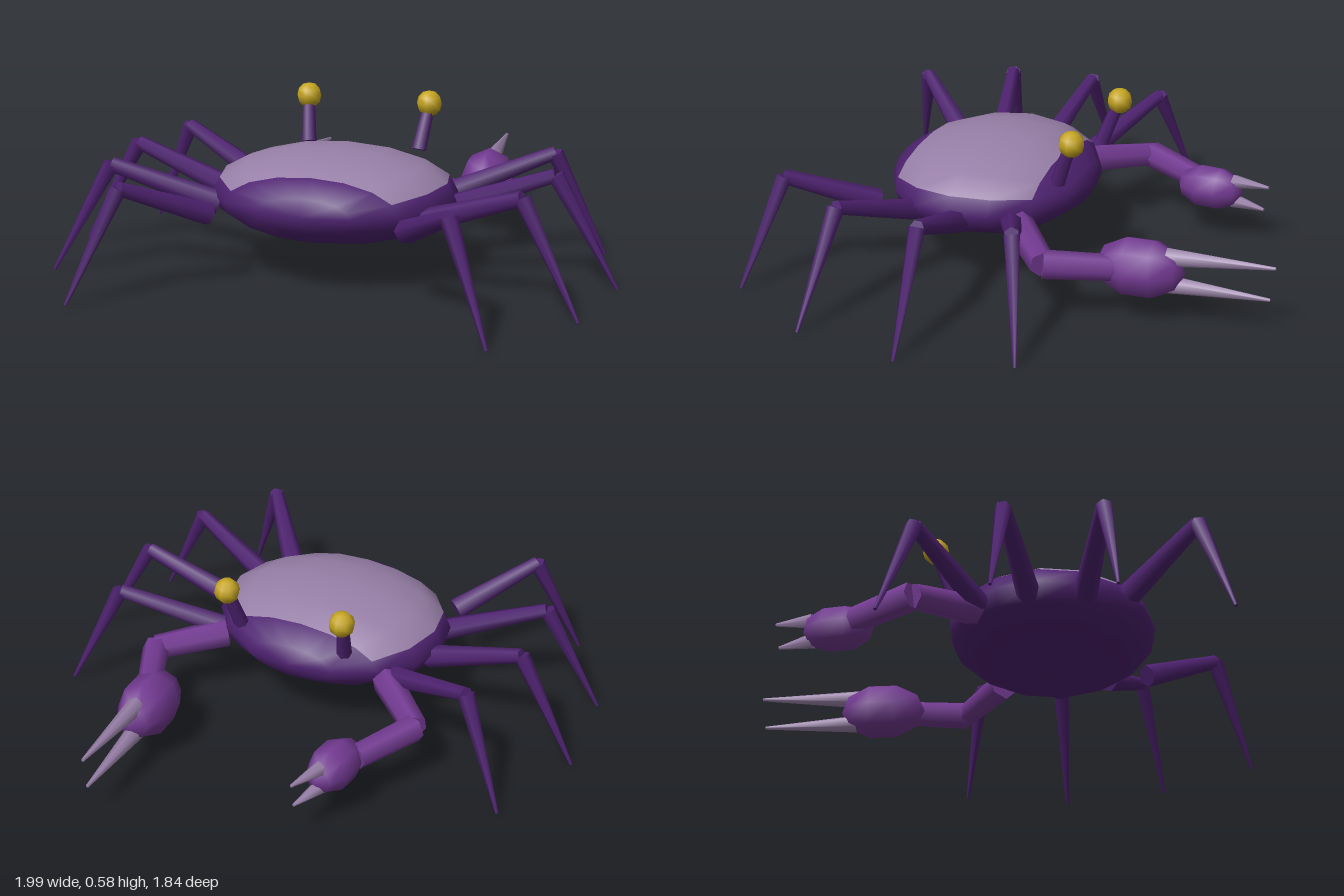
import * as THREE from 'three';

const mat = (name, color) => {
  const m = new THREE.MeshStandardMaterial({ color });
  m.name = name;
  return m;
};
const V = (x, y, z) => new THREE.Vector3(x, y, z);

export function createModel() {
  const crab = new THREE.Group();
  crab.name = 'crab';
  const dark = mat('darkPurple', 0x4e2270);
  const violet = mat('violet', 0x733a92);
  const pale = mat('paleMauve', 0x9880a8);
  const gold = mat('gold', 0xc4a420);

  const add = (parent, name, geometry, material) => {
    const mesh = new THREE.Mesh(geometry, material);
    mesh.name = name;
    parent.add(mesh);
    return mesh;
  };
  const group = (name) => {
    const g = new THREE.Group();
    g.name = name;
    crab.add(g);
    return g;
  };
  // Tapered limb section between two points
  const limb = (parent, name, a, b, ra, rb, material, sides = 6) => {
    const d = b.clone().sub(a);
    const mesh = add(parent, name, new THREE.CylinderGeometry(rb, ra, d.length(), sides), material);
    mesh.position.copy(a).addScaledVector(d, 0.5);
    mesh.quaternion.setFromUnitVectors(V(0, 1, 0), d.normalize());
    return mesh;
  };

  // Body: ellipsoid with its poles along z, upper faces pale
  const bodyGeo = new THREE.SphereGeometry(1, 16, 8).rotateX(Math.PI / 2);
  const pos = bodyGeo.attributes.position;
  const faces = [[], []];
  const c = V(), p = V();
  for (let i = 0; i < bodyGeo.index.count; i += 3) {
    const tri = [0, 1, 2].map((k) => bodyGeo.index.getX(i + k));
    c.set(0, 0, 0);
    tri.forEach((v) => c.add(p.fromBufferAttribute(pos, v)));
    c.divideScalar(3);
    const isShell = Math.atan2(c.y, Math.abs(c.x)) > Math.PI / 8 && Math.abs(c.z) < 0.7;
    faces[isShell ? 1 : 0].push(...tri);
  }
  bodyGeo.setIndex([...faces[0], ...faces[1]]);
  bodyGeo.addGroup(0, faces[0].length, 0);
  bodyGeo.addGroup(faces[0].length, faces[1].length, 1);
  bodyGeo.scale(0.44, 0.16, 0.37);
  add(crab, 'body', bodyGeo, [dark, pale]).position.set(0, 0.29, 0.24);

  // Walking legs: base, knee and tip of each
  const legs = [
    [V(0.35, 0.26, 0.03), V(0.7, 0.395, -0.13), V(0.875, 0.01, -0.215)],
    [V(0.4, 0.26, 0.21), V(0.77, 0.395, 0.18), V(0.99, 0.01, 0.17)],
    [V(0.37, 0.26, 0.4), V(0.73, 0.395, 0.505), V(0.935, 0.01, 0.56)],
    [V(0.35, 0.26, 0.55), V(0.565, 0.395, 0.8), V(0.72, 0.01, 0.91)],
  ];
  for (const s of [1, -1]) {
    const side = s > 0 ? 'left' : 'right';
    const m = (v) => V(v.x * s, v.y, v.z);

    legs.forEach(([base, knee, tip], i) => {
      const leg = group(`${side}Leg${i + 1}`);
      limb(leg, 'upperLeg', m(base), m(knee), 0.042, 0.026, dark);
      limb(leg, 'lowerLeg', m(knee), m(tip), 0.03, 0.006, dark);
    });

    // Eye on a stalk
    const eye = group(`${side}Eye`);
    limb(eye, 'eyeStalk', m(V(0.21, 0.38, -0.085)), m(V(0.23, 0.53, -0.14)), 0.027, 0.022, dark);
    add(eye, 'eyeball', new THREE.SphereGeometry(0.047, 8, 6), gold).position.set(0.23 * s, 0.54, -0.145);

    // Claw, larger on the +x side
    const big = s > 0;
    const claw = group(`${side}Claw`);
    const elbow = m(V(0.53, 0.22, -0.165));
    limb(claw, 'upperArm', m(V(0.33, 0.25, 0.01)), elbow, 0.055, 0.047, violet);
    limb(claw, 'forearm', elbow, m(V(0.42, 0.2, -0.39)), 0.05, 0.045, violet);
    const palmGeo = new THREE.SphereGeometry(1, 8, 5).rotateX(Math.PI / 2);
    palmGeo.scale(...(big ? [0.102, 0.112, 0.158] : [0.083, 0.085, 0.128]));
    const palm = add(claw, 'palm', palmGeo, violet);
    palm.position.set(0.373 * s, 0.193, -0.457);
    palm.rotation.y = 0.08 * s;
    const tipZ = big ? -0.92 : -0.69;
    const r = big ? 0.034 : 0.028;
    const spread = big ? 0.05 : 0.038;
    for (const up of [1, -1]) {
      limb(claw, up > 0 ? 'upperFinger' : 'lowerFinger',
        m(V(0.365, 0.195 + up * spread, -0.55)),
        m(V(0.335, 0.198 + up * spread * 1.18, tipZ + (up < 0 ? 0.015 : 0))),
        r, 0.006, pale);
    }
  }
  return crab;
}
